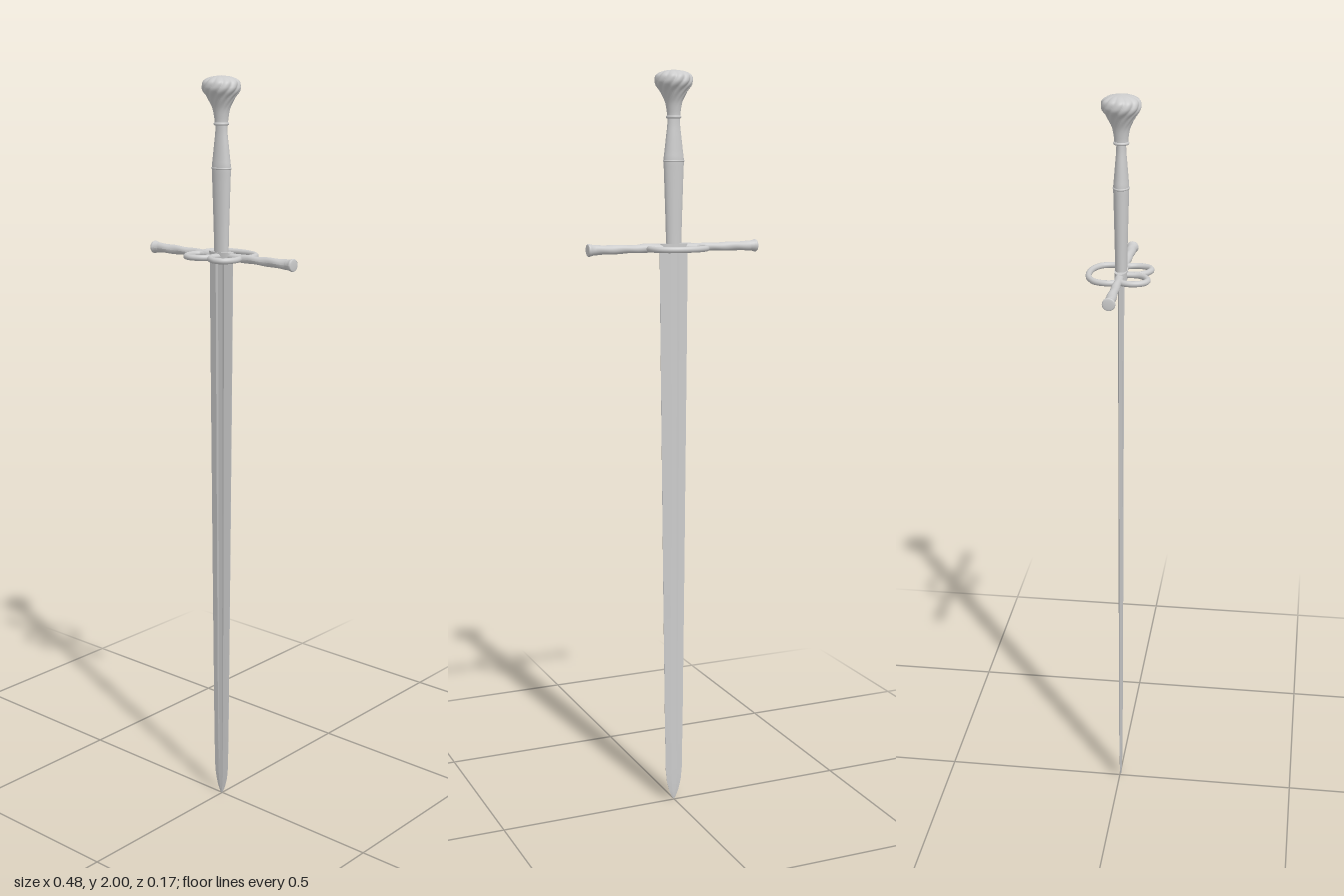
import * as THREE from 'three';
import { toCreasedNormals } from 'three/addons/utils/BufferGeometryUtils.js';

const steel = new THREE.MeshStandardMaterial({ color: 0xcccccc, side: THREE.DoubleSide });
const V2 = (p) => new THREE.Vector2(p[0], p[1]);

// Smooth lathe through [radius, height] points
function turned(points, steps, segments) {
  const curve = new THREE.SplineCurve(points.map(V2));
  const profile = curve.getPoints(steps).map((p) => new THREE.Vector2(Math.max(p.x, 0), p.y));
  return new THREE.LatheGeometry(profile, segments);
}

// Scale each vertex about the y axis by a rule of angle and height
function swell(geometry, rule) {
  const p = geometry.attributes.position;
  for (let i = 0; i < p.count; i++) {
    const x = p.getX(i), y = p.getY(i), z = p.getZ(i);
    const k = rule(Math.atan2(z, x), y, Math.hypot(x, z));
    p.setX(i, x * k);
    p.setZ(i, z * k);
  }
  geometry.computeVertexNormals();
  return geometry;
}

// Blade: a fullered cross-section carried down to a rounded point
function bladeGeometry() {
  // height, half width, half thickness, fuller depth (share of thickness)
  const stations = [
    [1.55, 0.04, 0.0065, 0.35], [1.3, 0.038, 0.006, 0.35], [1.0, 0.035, 0.0055, 0.3],
    [0.6, 0.031, 0.005, 0.25], [0.25, 0.027, 0.0042, 0.15], [0.09, 0.0245, 0.0035, 0],
    [0.055, 0.021, 0.003, 0], [0.025, 0.0135, 0.0022, 0], [0.008, 0.006, 0.0014, 0], [0, 0.0005, 0.0003, 0],
  ];
  const pos = [], idx = [], n = 12;
  for (const [y, w, t, f] of stations) {
    const face = [[1, 0.1], [0.36, 1], [0.2, 1 - f], [-0.2, 1 - f], [-0.36, 1], [-1, 0.1]];
    for (const [x, z] of face) pos.push(x * w, y, z * t);
    for (const [x, z] of face) pos.push(-x * w, y, -z * t);
  }
  for (let s = 0; s < stations.length - 1; s++) {
    for (let i = 0; i < n; i++) {
      const a = s * n + i, b = s * n + ((i + 1) % n);
      idx.push(a, b, a + n, b, b + n, a + n);
    }
  }
  const g = new THREE.BufferGeometry();
  g.setAttribute('position', new THREE.Float32BufferAttribute(pos, 3));
  g.setIndex(idx);
  return toCreasedNormals(g, 0.12);
}

// Round bar through [x, z] points lying flat in the guard plane
function bar(points, radius) {
  const path = new THREE.CatmullRomCurve3(points.map(([x, z]) => new THREE.Vector3(x, 0, z)));
  return new THREE.TubeGeometry(path, 72, radius, 12);
}

export function createModel() {
  const sword = new THREE.Group();
  sword.name = 'sword';
  const add = (name, geometry, parent = sword) => {
    const mesh = new THREE.Mesh(geometry, steel);
    mesh.name = name;
    parent.add(mesh);
    return mesh;
  };

  const body = new THREE.Group();
  body.name = 'bladeAndHilt';
  body.position.z = 0.003;
  sword.add(body);
  add('blade', bladeGeometry(), body);

  // Pommel with swirling flutes that fade towards the neck
  const pommel = turned([
    [0.017, 1.88], [0.018, 1.895], [0.023, 1.92], [0.035, 1.945], [0.046, 1.962],
    [0.0485, 1.974], [0.044, 1.987], [0.027, 1.996], [0, 2],
  ], 40, 120);
  swell(pommel, (a, y, r) => {
    const flute = Math.abs(Math.sin(6 * (a + 14 * (y - 1.96) + 10 * r)));
    const depth = 0.08 * THREE.MathUtils.smoothstep(y, 1.895, 1.96);
    return 1 + depth * (flute - 0.55);
  });
  add('pommel', pommel, body);

  const collar = add('pommelCollar', new THREE.TorusGeometry(0.016, 0.004, 10, 32), body);
  collar.rotation.x = Math.PI / 2;
  collar.position.y = 1.881;

  // Oval grip, fullest above the middle
  const grip = add('grip', turned([
    [0.021, 1.55], [0.022, 1.6], [0.0245, 1.68], [0.0265, 1.74], [0.0275, 1.772],
    [0.025, 1.795], [0.021, 1.83], [0.0175, 1.86], [0.0165, 1.885],
  ], 40, 32), body);
  grip.scale.z = 0.72;
  const riser = add('gripRiser', new THREE.TorusGeometry(0.0265, 0.0028, 10, 36), body);
  riser.rotation.x = Math.PI / 2;
  riser.scale.y = 0.72;
  riser.position.y = 1.77;

  // Guard: centre block, twisted arms and flat side loops
  const guard = new THREE.Group();
  guard.name = 'guard';
  guard.position.y = 1.546;
  sword.add(guard);

  const block = add('guardBlock', new THREE.CylinderGeometry(0.04, 0.04, 0.022, 32), guard);
  block.scale.z = 0.42;
  block.position.z = 0.003;

  for (const side of [1, -1]) {
    const arm = turned([
      [0.011, 0], [0.0105, 0.08], [0.0108, 0.13], [0.0122, 0.18], [0.0128, 0.215],
      [0.0142, 0.228], [0.0165, 0.236], [0.0155, 0.24],
    ], 60, 24);
    swell(arm, (a, y) => 1 + 0.05 * Math.sin(2 * a + 90 * y) * (y < 0.22 ? 1 : 0));
    const mesh = add(side > 0 ? 'leftArm' : 'rightArm', arm, guard);
    mesh.rotation.z = -side * Math.PI / 2;
    mesh.position.z = 0.003;

    const cap = add(side > 0 ? 'leftArmEnd' : 'rightArmEnd', new THREE.SphereGeometry(0.0155, 20, 12), guard);
    cap.scale.x = 0.12;
    cap.position.set(side * 0.2395, 0, 0.003);

    // Front lobe, curling from the arm back in to the block
    add(side > 0 ? 'leftFrontLoop' : 'rightFrontLoop', bar([
      [0.05, 0.006], [0.068, 0.012], [0.076, 0.032], [0.072, 0.056], [0.06, 0.071], [0.043, 0.0755],
      [0.025, 0.07], [0.012, 0.06], [0.004, 0.046], [0.003, 0.01],
    ].map(([x, z]) => [side * x, z]), 0.0078), guard);
  }

  // Single wide loop behind
  const half = [[0.06, 0.003], [0.073, -0.008], [0.0765, -0.028], [0.068, -0.054], [0.047, -0.07], [0.022, -0.0775]];
  const mirrored = half.map(([x, z]) => [-x, z]).reverse();
  add('backLoop', bar([...half, [0, -0.079], ...mirrored], 0.0078), guard);

  return sword;
}
